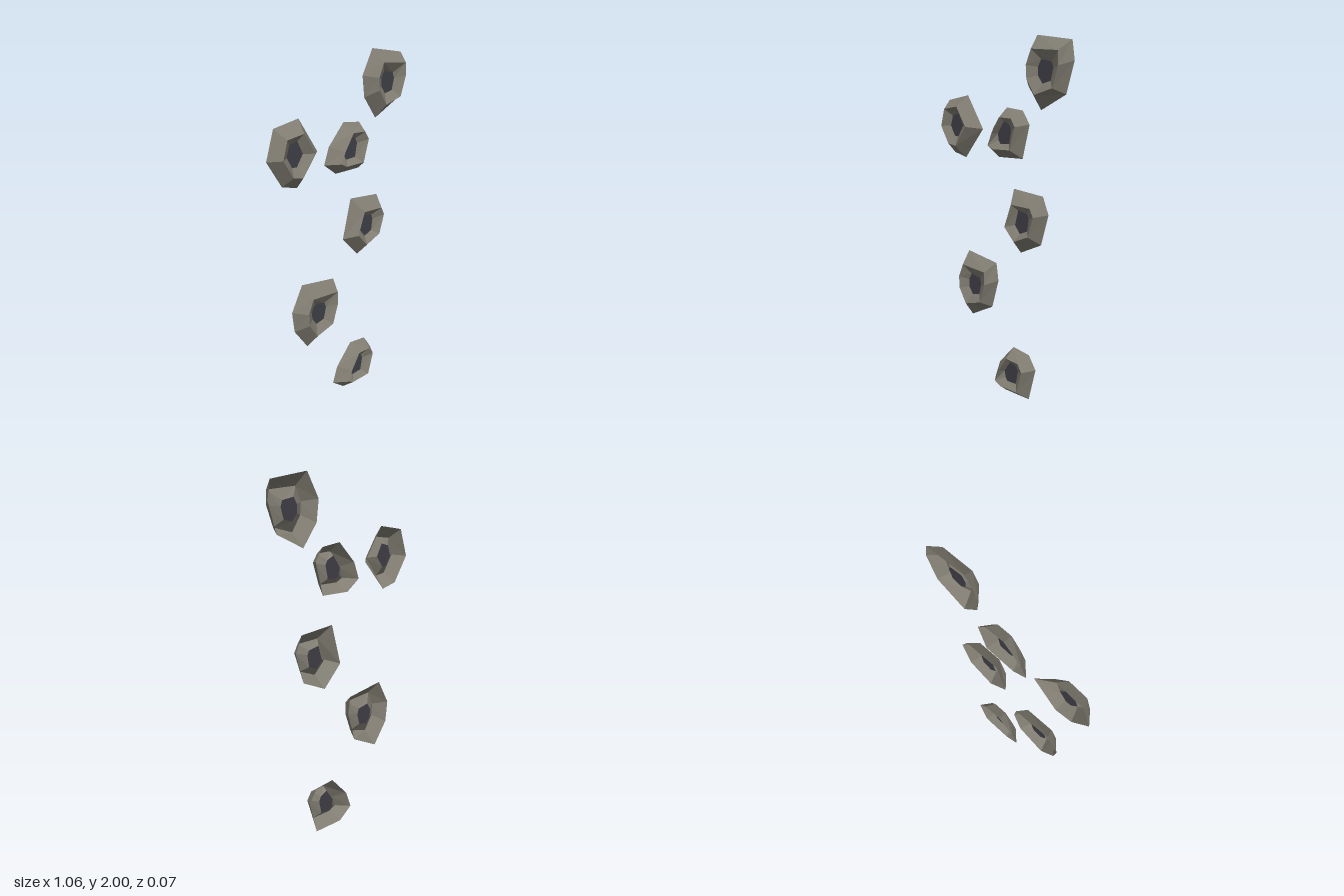
import * as THREE from 'three';

// Outlines in hundredths of a unit, clockwise from the top left:
// rim is the wide back edge, ridge the raised front edge around the crater.
const SHAPES = {
  large: {
    rim: [[-9.5, 18.5], [15.3, 14.8], [17, 4.5], [11.6, -12], [-6.3, -20], [-15.9, -7.5], [-17.5, 4.5]],
    ridge: [[-7.4, 11.1], [12, 9.5], [12.2, 2.1], [8, -9], [-4.8, -12.2], [-10.6, -3.7], [-11.1, 3.2]],
  },
  small: {
    rim: [[-1.9, 14.3], [10.8, 12.7], [16.1, 5.3], [10.8, -13.2], [-8.2, -13.2], [-17.2, -6.9], [-13.5, 2.6]],
    ridge: [[-1, 9], [8.5, 8.5], [11.6, 4], [7.4, -8.5], [-6.3, -8.5], [-10.5, -6.5], [-7.4, 0]],
  },
  pointed: {
    rim: [[-11.1, 14.3], [6.3, 17], [19.6, -2.1], [4.2, -19], [-6.3, -16.4], [-16.4, -1.6]],
    ridge: [[-8, 9], [3.7, 10.5], [11.6, -1], [2.6, -12.2], [-4.2, -11], [-11, -1]],
  },
  square: {
    rim: [[-10, 17], [12.7, 14.8], [17, 5.3], [11.6, -11.6], [-4.2, -18], [-16.4, -5.8]],
    ridge: [[-5.3, 9.2], [9.5, 8.5], [12, 4], [8, -7], [-3, -11], [-10.5, -3.7]],
  },
};

const PLACES = [
  ['large', 0.36, 1.82], ['pointed', -0.37, 1.53], ['small', 0.05, 1.49],
  ['square', 0.19, 1.02], ['large', -0.21, 0.6], ['small', 0.11, 0.14],
];

const loop = (points, z) => points.map(([x, y]) => new THREE.Vector3(x / 100, y / 100, z));

function facets(triangles) {
  const geometry = new THREE.BufferGeometry().setFromPoints(triangles);
  geometry.computeVertexNormals();
  return geometry;
}

// Band of faces between two loops
function band(a, b) {
  const out = [];
  a.forEach((p, i) => {
    const j = (i + 1) % a.length;
    out.push(p, b[i], b[j], p, b[j], a[j]);
  });
  return facets(out);
}

export function createModel() {
  const stone = new THREE.MeshStandardMaterial({ color: 0x817d72, side: THREE.DoubleSide, flatShading: true });
  stone.name = 'stone';
  const dark = new THREE.MeshStandardMaterial({ color: 0x403f48, side: THREE.DoubleSide, flatShading: true });
  dark.name = 'dark hollow';

  const model = new THREE.Group();
  model.name = 'craterStones';

  PLACES.forEach(([kind, x, y]) => {
    const rim = loop(SHAPES[kind].rim, -0.034);
    const ridge = loop(SHAPES[kind].ridge, 0.033);
    // Crater floor: an upright oval with a corner below each ridge corner
    const floor = ridge.map((p) => {
      const a = Math.atan2(p.y, p.x);
      return new THREE.Vector3(0.057 * Math.cos(a), 0.07 * Math.sin(a), 0);
    });
    const centre = new THREE.Vector3();
    const cap = floor.flatMap((p, i) => [centre, floor[(i + 1) % floor.length], p]);

    const rock = new THREE.Group();
    rock.name = kind + 'Stone';
    const add = (name, geometry, material) => {
      const mesh = new THREE.Mesh(geometry, material);
      mesh.name = name;
      rock.add(mesh);
    };
    add('outerSlope', band(rim, ridge), stone);
    add('craterSlope', band(ridge, floor), stone);
    add('craterFloor', facets(cap), dark);
    rock.position.set(x, y, 0);
    model.add(rock);
  });
  return model;
}
